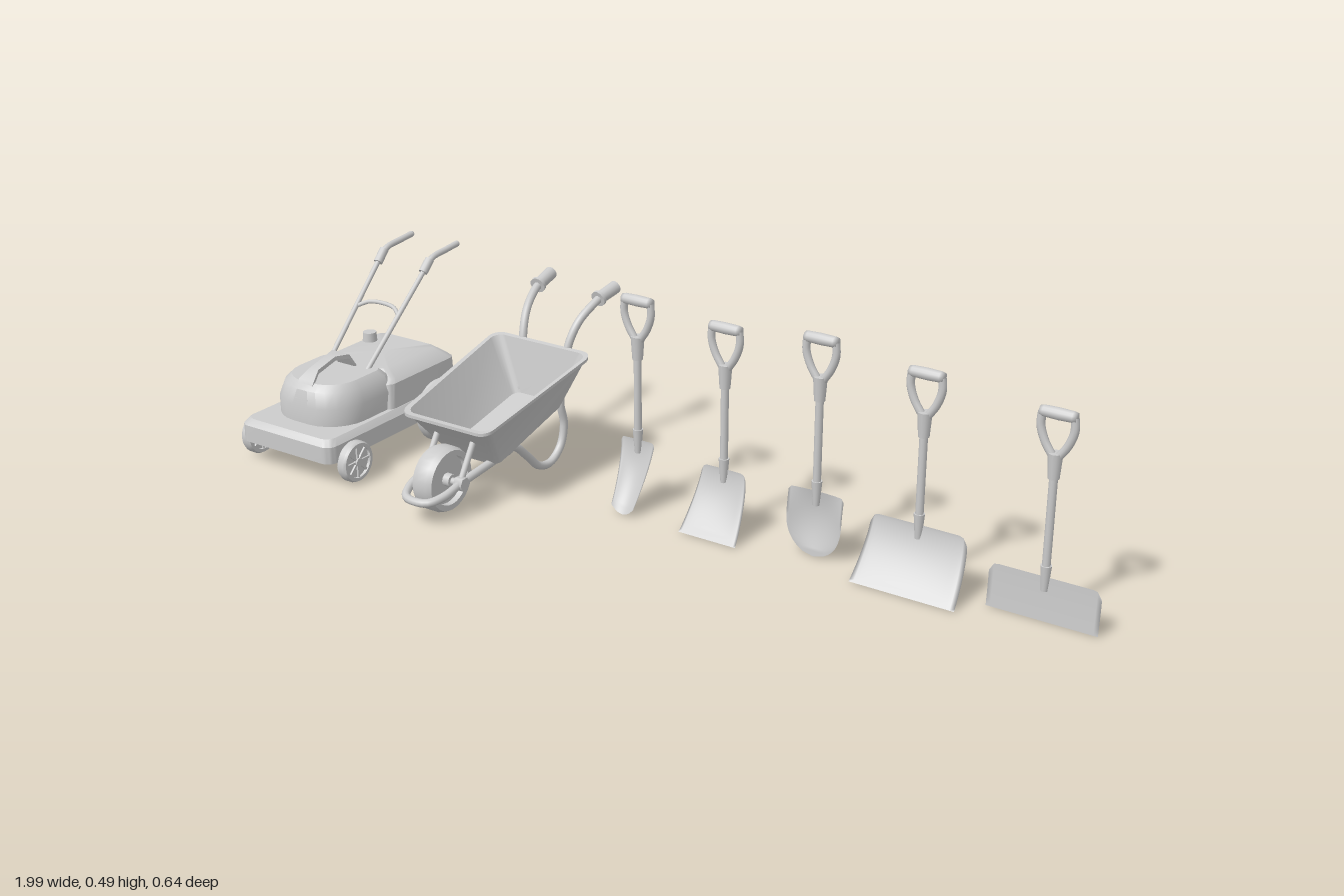
import * as THREE from 'three';
import { toCreasedNormals } from 'three/addons/utils/BufferGeometryUtils.js';
import { ParametricGeometry } from 'three/addons/geometries/ParametricGeometry.js';

const grey = new THREE.MeshStandardMaterial({ color: 0xcccccc });
const thin = new THREE.MeshStandardMaterial({ color: 0xcccccc, side: THREE.DoubleSide });
const V = (x, y, z) => new THREE.Vector3(x, y, z);

function add(parent, name, geo, x = 0, y = 0, z = 0, mat = grey) {
  const mesh = new THREE.Mesh(geo, mat);
  mesh.name = name;
  mesh.position.set(x, y, z);
  parent.add(mesh);
  return mesh;
}

function group(parent, name, x = 0, y = 0, z = 0) {
  const g = new THREE.Group();
  g.name = name;
  g.position.set(x, y, z);
  parent.add(g);
  return g;
}

// Capped skin through a list of equally sized rings
function loft(rings) {
  const pos = [], n = rings[0].length;
  const tri = (...p) => p.forEach(v => pos.push(v.x, v.y, v.z));
  const mid = r => r.reduce((s, p) => s.add(p), V(0, 0, 0)).divideScalar(n);
  const last = rings[rings.length - 1], c0 = mid(rings[0]), c1 = mid(last);
  for (let j = 0; j < n; j++) {
    const k = (j + 1) % n;
    for (let i = 0; i < rings.length - 1; i++) {
      const a = rings[i], b = rings[i + 1];
      tri(a[j], b[j], a[k]);
      tri(a[k], b[j], b[k]);
    }
    tri(c0, rings[0][j], rings[0][k]);
    tri(c1, last[k], last[j]);
  }
  const geo = new THREE.BufferGeometry();
  geo.setAttribute('position', new THREE.Float32BufferAttribute(pos, 3));
  return toCreasedNormals(geo, 0.6);
}

// Rounded outline lying in xz; width and height may differ from front to back
function ring(hxF, hxB, back, front, rF, rB, yF, yB = yF) {
  const pts = [], N = 6;
  [[1, 1], [-1, 1], [-1, -1], [1, -1]].forEach(([sx, sz], q) => {
    const hx = sz > 0 ? hxF : hxB, r = sz > 0 ? rF : rB, zc = sz > 0 ? front - r : back + r;
    for (let i = 0; i <= N; i++) {
      const a = (q + i / N) * Math.PI / 2;
      const z = zc + r * Math.sin(a);
      const y = yB + (yF - yB) * (z - back) / (front - back);
      pts.push(V(sx * (hx - r) + r * Math.cos(a), y, z));
    }
  });
  return pts;
}

const tube = (pts, r, seg = 24, sides = 10) =>
  new THREE.TubeGeometry(new THREE.CatmullRomCurve3(pts), seg, r, sides);

// Cylinder between two points
function rod(parent, name, a, b, rA, rB = rA, sides = 12) {
  const m = add(parent, name, new THREE.CylinderGeometry(rB, rA, a.distanceTo(b), sides));
  m.position.copy(a).add(b).multiplyScalar(0.5);
  m.quaternion.setFromUnitVectors(V(0, 1, 0), b.clone().sub(a).normalize());
  return m;
}

// Wheel turning about x
function wheel(parent, name, x, y, z, r, w, t, spokes) {
  const g = group(parent, name, x, y, z);
  g.rotation.z = Math.PI / 2;
  const profile = [[r - t, -w], [r - t * 0.3, -w], [r, -w * 0.5], [r, w * 0.5], [r - t * 0.3, w], [r - t, w], [r - t, -w]];
  add(g, 'tyre', toCreasedNormals(new THREE.LatheGeometry(profile.map(p => new THREE.Vector2(...p)), 28), 0.7));
  add(g, 'wheelDisc', new THREE.CylinderGeometry(r - t, r - t, w * 0.9, 28));
  add(g, 'hub', new THREE.CylinderGeometry(r * 0.2, r * 0.2, w * 2.2, 16));
  for (let i = 0; i < spokes; i++) {
    const a = i / spokes * Math.PI * 2, m = r * 0.5;
    const s = add(g, 'spoke', new THREE.BoxGeometry(r * 0.75, w * 1.6, r * 0.11), Math.cos(a) * m, 0, Math.sin(a) * m);
    s.rotation.y = -a;
  }
}

function buildMower(root) {
  const g = group(root, 'lawnMower', -0.82);
  add(g, 'deck', loft([
    ring(0.137, 0.137, -0.187, 0.28, 0.025, 0.02, 0.06),
    ring(0.137, 0.137, -0.187, 0.28, 0.025, 0.02, 0.1),
    ring(0.125, 0.125, -0.182, 0.268, 0.025, 0.02, 0.114)]));
  add(g, 'rearHousing', loft([
    ring(0.125, 0.125, -0.187, 0.06, 0.02, 0.02, 0.1),
    ring(0.12, 0.12, -0.187, 0.05, 0.02, 0.02, 0.172),
    ring(0.112, 0.112, -0.18, 0.04, 0.02, 0.02, 0.18),
    ring(0.085, 0.085, -0.16, 0.03, 0.02, 0.02, 0.198)]));
  add(g, 'engineCover', loft([
    ring(0.113, 0.113, 0.02, 0.222, 0.09, 0.02, 0.11),
    ring(0.113, 0.113, 0.02, 0.222, 0.09, 0.02, 0.155),
    ring(0.1, 0.1, 0.025, 0.212, 0.085, 0.02, 0.19),
    ring(0.085, 0.085, 0.035, 0.195, 0.07, 0.02, 0.204)]));
  // Dog-bone carrying strap arched over the engine: z, y, half width
  const strap = [[0.218, 0.165, 0.022], [0.195, 0.203, 0.022], [0.168, 0.222, 0.013],
    [0.11, 0.236, 0.013], [0.078, 0.234, 0.026], [0.055, 0.2, 0.026]];
  add(g, 'strap', loft(strap.map(([z, y, w]) => [V(w, y - 0.005, z), V(w, y + 0.005, z), V(-w, y + 0.005, z), V(-w, y - 0.005, z)])));
  add(g, 'fuelCap', new THREE.CylinderGeometry(0.016, 0.018, 0.03, 16), -0.07, 0.205, -0.1);
  for (const s of [-1, 1]) {
    rod(g, 'handleBar', V(s * 0.058, 0.195, 0.06), V(s * 0.07, 0.39, -0.15), 0.006);
    rod(g, 'gripCollar', V(s * 0.069, 0.383, -0.143), V(s * 0.07, 0.408, -0.168), 0.011);
    add(g, 'grip', tube([V(s * 0.07, 0.4, -0.16), V(s * 0.07, 0.411, -0.18), V(s * 0.07, 0.416, -0.225), V(s * 0.07, 0.42, -0.268)], 0.0075));
    add(g, 'gripEnd', new THREE.SphereGeometry(0.0075, 10, 8), s * 0.07, 0.42, -0.268);
    wheel(g, 'rearWheel', s * 0.157, 0.078, -0.083, 0.075, 0.016, 0.015, 9);
    wheel(g, 'frontWheel', s * 0.147, 0.05, 0.21, 0.048, 0.013, 0.011, 8);
  }
  add(g, 'crossbar', tube([V(-0.065, 0.3, -0.055), V(-0.035, 0.312, -0.07), V(0.035, 0.312, -0.07), V(0.065, 0.3, -0.055)], 0.005));
}

function buildBarrow(root) {
  const g = group(root, 'wheelbarrow', -0.414);
  // Outer skin up to the rim, then the inner skin down to the floor
  add(g, 'tray', loft([
    ring(0.072, 0.066, -0.142, 0.115, 0.02, 0.02, 0.085, 0.143),
    ring(0.114, 0.13, -0.155, 0.198, 0.025, 0.025, 0.19, 0.264),
    ring(0.121, 0.138, -0.16, 0.209, 0.028, 0.028, 0.194, 0.268),
    ring(0.121, 0.138, -0.16, 0.209, 0.028, 0.028, 0.201, 0.275),
    ring(0.111, 0.128, -0.15, 0.196, 0.023, 0.023, 0.201, 0.273),
    ring(0.07, 0.064, -0.132, 0.11, 0.018, 0.018, 0.092, 0.148)]));
  // One continuous tube: handle, rear leg, underside, nose hoop, and back again
  const half = [[0.088, 0.376, -0.285], [0.085, 0.362, -0.245], [0.074, 0.328, -0.195], [0.064, 0.275, -0.166],
    [0.058, 0.2, -0.157], [0.058, 0.15, -0.14], [0.06, 0.09, -0.15], [0.06, 0.04, -0.135], [0.06, 0.013, -0.095],
    [0.06, 0.022, -0.05], [0.059, 0.06, -0.01], [0.058, 0.1, 0.04], [0.055, 0.09, 0.1], [0.052, 0.076, 0.216],
    [0.048, 0.064, 0.27], [0.028, 0.056, 0.303]].map(p => V(...p));
  const other = half.map(p => V(-p.x, p.y, p.z)).reverse();
  add(g, 'frame', tube([...half, ...other], 0.0095, 180, 10));
  wheel(g, 'wheel', 0, 0.076, 0.216, 0.074, 0.026, 0.018, 0);
  rod(g, 'axle', V(-0.06, 0.076, 0.216), V(0.06, 0.076, 0.216), 0.008);
  for (const s of [-1, 1]) {
    rod(g, 'axleBoss', V(s * 0.042, 0.076, 0.216), V(s * 0.064, 0.076, 0.216), 0.016, 0.016, 6);
    rod(g, 'wheelStrut', V(s * 0.05, 0.076, 0.216), V(s * 0.05, 0.155, 0.167), 0.007);
    rod(g, 'gripFlange', V(s * 0.086, 0.367, -0.254), V(s * 0.0865, 0.369, -0.261), 0.019);
    rod(g, 'grip', V(s * 0.0865, 0.368, -0.258), V(s * 0.092, 0.38, -0.315), 0.0145, 0.0155);
  }
}

// Shovel blade: t runs from top to tip, s across
function blade({ h, width, corner, tip = 0, bend, dish = 0 }) {
  const wide = width(0);
  return new ParametricGeometry((u, v, out) => {
    const s = u * 2 - 1, a = Math.abs(s);
    const c = Math.max(0, (a * wide - wide + corner) / corner);
    const top = h - corner * (1 - Math.sqrt(Math.max(0, 1 - c * c)));
    const bottom = tip * s * s;
    out.set(s * width(v), top + (bottom - top) * v, bend * Math.pow(v, 1.6) + dish * (s * s - 0.6) * Math.sin(Math.PI * Math.min(1, v + 0.1)));
  }, 24, 24);
}

function buildShovel(root, name, x, top, spec) {
  const g = group(root, name, x, 0, -0.043);
  add(g, 'blade', blade(spec), 0, 0, 0, thin);
  rod(g, 'shaft', V(0, spec.h - 0.01, 0), V(0, top - 0.12, 0), 0.0085);
  rod(g, 'bladeSocket', V(0, spec.h - 0.03, 0), V(0, spec.h + 0.025, 0), 0.007, 0.0115);
  rod(g, 'neck', V(0, top - 0.145, 0), V(0, top - 0.092, 0), 0.0115, 0.015);
  // D-shaped grip
  const y = top - 0.0125;
  const bar = [[0, -0.037], [0.01, -0.037], [0.0115, -0.03], [0.0125, 0], [0.0115, 0.03], [0.01, 0.037], [0, 0.037]];
  add(g, 'gripBar', new THREE.LatheGeometry(bar.map(p => new THREE.Vector2(...p)), 14), 0, y).rotation.z = Math.PI / 2;
  for (const s of [-1, 1])
    add(g, 'gripArm', tube([V(s * 0.033, y, 0), V(s * 0.034, y - 0.03, 0), V(s * 0.024, y - 0.06, 0), V(s * 0.006, y - 0.088, 0)], 0.0085));
}

export function createModel() {
  const root = new THREE.Group();
  root.name = 'gardenTools';
  buildMower(root);
  buildBarrow(root);
  buildShovel(root, 'trenchShovel', -0.075, 0.487,
    { h: 0.155, width: t => 0.043 - 0.014 * t, corner: 0.008, tip: 0.018, bend: 0.062, dish: 0.008 });
  buildShovel(root, 'squareShovel', 0.145, 0.47,
    { h: 0.14, width: t => 0.055 + 0.016 * t, corner: 0.015, bend: 0.066, dish: 0.006 });
  buildShovel(root, 'roundShovel', 0.37, 0.493,
    { h: 0.145, width: t => 0.065 * Math.sqrt(Math.max(0, 1 - Math.pow(Math.max(0, (t - 0.35) / 0.65), 2.4))), corner: 0.008, bend: 0.008, dish: 0.018 });
  buildShovel(root, 'snowShovel', 0.605, 0.47,
    { h: 0.133, width: t => 0.108 + 0.01 * t, corner: 0.02, bend: 0.066, dish: 0.003 });
  buildShovel(root, 'snowPusher', 0.88, 0.45,
    { h: 0.095, width: () => 0.118, corner: 0.018, bend: 0.004 });
  return root;
}
